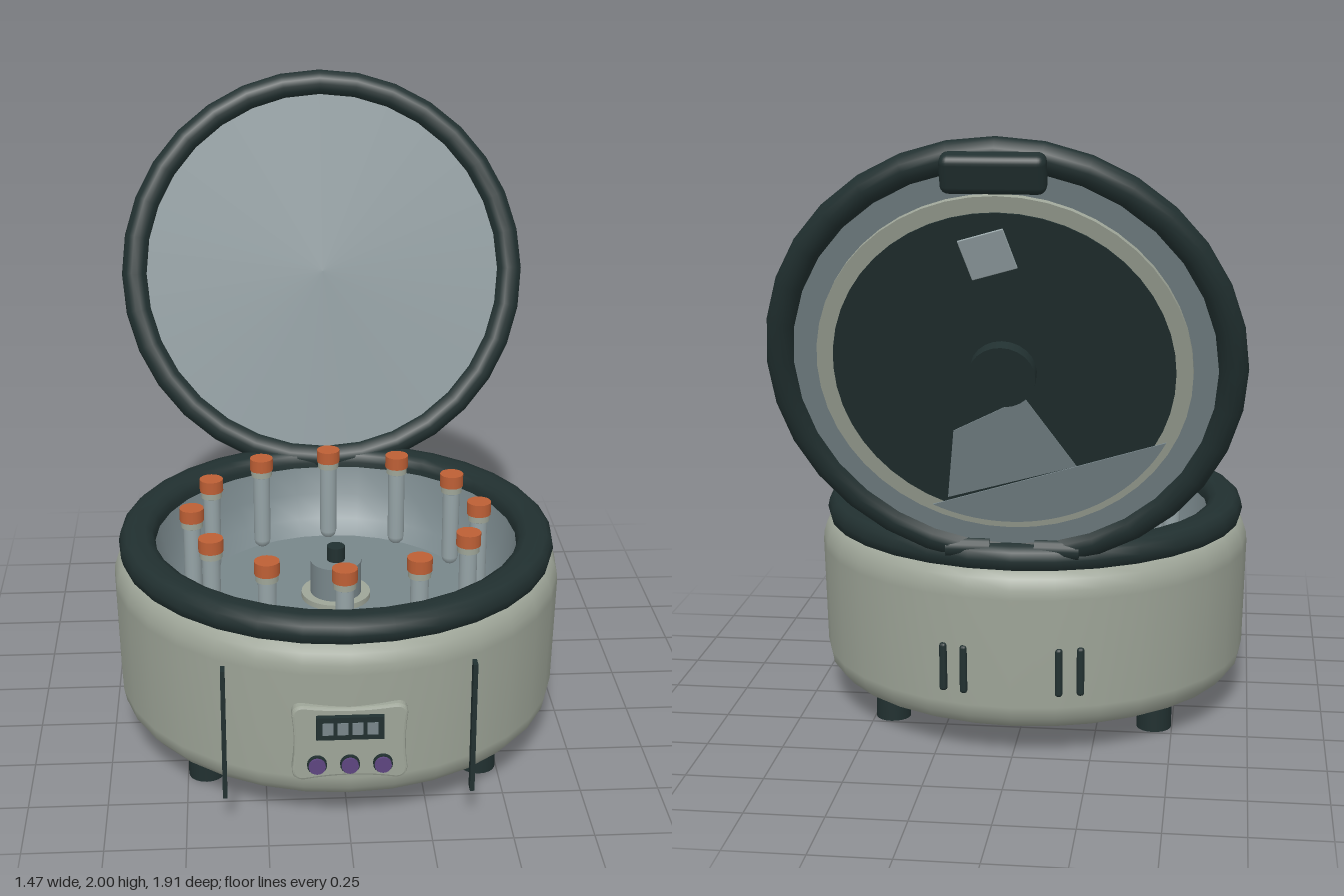
import * as THREE from 'three';
import { RoundedBoxGeometry } from 'three/addons/geometries/RoundedBoxGeometry.js';

const paint = (name, color, side = THREE.FrontSide) => {
  const m = new THREE.MeshStandardMaterial({ color, side });
  m.name = name;
  return m;
};
const shell = paint('shell grey green', 0x9ea598);
const dark = paint('dark rubber', 0x213030);
const steel = paint('steel', 0x78868a);
const orange = paint('orange cap', 0xbd5f35);
const purple = paint('purple button', 0x5d4580);
const glass = paint('pale glass', 0x95a3a6);

function add(parent, name, geometry, material, x = 0, y = 0, z = 0) {
  const mesh = new THREE.Mesh(geometry, material);
  mesh.name = name;
  mesh.position.set(x, y, z);
  parent.add(mesh);
  return mesh;
}
const lathe = (pts, n = 32) => new THREE.LatheGeometry(pts.map(([r, y]) => new THREE.Vector2(r, y)), n);
const disc = (r, h, n = 32) => new THREE.CylinderGeometry(r, r, h, n);
// Disc whose axis points along z
const facing = (r, h, n = 32) => disc(r, h, n).rotateX(Math.PI / 2);
const outline = (pts) => new THREE.Shape(pts.map(([x, y]) => new THREE.Vector2(x, y)));

function makeTube() {
  const tube = new THREE.Group();
  tube.name = 'sampleTube';
  add(tube, 'vial', lathe([[0, 0.43], [0.014, 0.434], [0.025, 0.445], [0.029, 0.46], [0.029, 0.7]], 16), glass);
  add(tube, 'vialCollar', disc(0.036, 0.022, 16), shell, 0, 0.715);
  add(tube, 'cap', disc(0.04, 0.043, 16), orange, 0, 0.748);
  return tube;
}

function makeBase() {
  const base = new THREE.Group();
  base.name = 'base';
  base.position.z = 0.195;
  add(base, 'housing', lathe([
    [0.6, 0.08], [0.645, 0.086], [0.69, 0.107], [0.718, 0.14], [0.726, 0.18],
    [0.735, 0.54], [0.733, 0.57], [0.722, 0.605], [0.7, 0.63], [0.66, 0.64]]), shell);
  add(base, 'underside', disc(0.602, 0.01), shell, 0, 0.085);
  add(base, 'rubberRim', lathe([
    [0.64, 0.62], [0.69, 0.621], [0.71, 0.632], [0.717, 0.66], [0.711, 0.688],
    [0.695, 0.704], [0.67, 0.709], [0.63, 0.707], [0.607, 0.695], [0.598, 0.67], [0.598, 0.64]]), dark);

  // Chamber and rotor
  add(base, 'bowlWall', lathe([[0.6, 0.66], [0.575, 0.56], [0.53, 0.48], [0.475, 0.435]]), steel);
  add(base, 'bowlFloor', disc(0.48, 0.02), steel, 0, 0.426);
  add(base, 'rotorFlange', disc(0.115, 0.02), shell, 0, 0.445);
  add(base, 'rotorHub', disc(0.085, 0.12), steel, 0, 0.51);
  add(base, 'rotorNut', disc(0.03, 0.05, 16), dark, 0, 0.595);
  for (let i = 0; i < 12; i++) {
    const a = i * Math.PI / 6;
    const tube = makeTube();
    tube.position.set(0.475 * Math.sin(a), 0, 0.475 * Math.cos(a));
    base.add(tube);
  }

  // Feet and front trim strips
  for (const s of [-1, 1]) {
    for (const z of [-0.38, 0.38]) add(base, 'foot', disc(0.058, 0.085, 20), dark, s * 0.44, 0.0425, z);
    add(base, 'trimStrip', new THREE.BoxGeometry(0.014, 0.44, 0.035), dark, s * 0.38, 0.333, 0.695);
  }

  // Rear vent slots, in two pairs
  for (const deg of [-17.5, -12, 12, 17.5]) {
    const a = Math.PI + deg * Math.PI / 180;
    const slot = add(base, 'ventSlot', new RoundedBoxGeometry(0.024, 0.16, 0.03, 2, 0.01), dark,
      0.725 * Math.sin(a), 0.3, 0.725 * Math.cos(a));
    slot.rotation.y = a;
  }
  return base;
}

function makeControls() {
  const controls = new THREE.Group();
  controls.name = 'controlPanel';
  // Slightly pinched plate
  const s = new THREE.Shape();
  s.moveTo(-0.14, 0.196);
  s.quadraticCurveTo(0, 0.22, 0.14, 0.196);
  s.quadraticCurveTo(0.168, 0.196, 0.168, 0.225);
  s.quadraticCurveTo(0.155, 0.315, 0.168, 0.41);
  s.quadraticCurveTo(0.168, 0.435, 0.14, 0.435);
  s.quadraticCurveTo(0, 0.415, -0.14, 0.435);
  s.quadraticCurveTo(-0.168, 0.435, -0.168, 0.41);
  s.quadraticCurveTo(-0.155, 0.315, -0.168, 0.225);
  s.quadraticCurveTo(-0.168, 0.196, -0.14, 0.196);
  add(controls, 'panelPlate', new THREE.ExtrudeGeometry(s, {
    depth: 0.06, bevelSize: 0.008, bevelThickness: 0.008, bevelSegments: 2, curveSegments: 8,
  }), shell, 0, 0, 0.87);
  add(controls, 'display', new THREE.BoxGeometry(0.205, 0.076, 0.02), dark, 0, 0.374, 0.945);
  for (let i = 0; i < 4; i++) {
    add(controls, 'displayCell', new THREE.BoxGeometry(0.032, 0.04, 0.004), steel, (i - 1.5) * 0.045, 0.374, 0.956);
  }
  for (const x of [-0.1, 0, 0.1]) {
    add(controls, 'buttonBezel', facing(0.03, 0.02, 20), dark, x, 0.245, 0.94);
    add(controls, 'button', facing(0.026, 0.02, 20), purple, x, 0.245, 0.948);
  }
  return controls;
}

function makeLid() {
  const lid = new THREE.Group();
  lid.name = 'lid';
  lid.position.set(0, 1.315, -0.65);
  lid.rotation.x = -0.314;
  add(lid, 'lidSeal', new THREE.TorusGeometry(0.675, 0.046, 14, 32), dark);
  add(lid, 'lidPanel', facing(0.645, 0.034, 48), steel, 0, 0, -0.003);

  // Outer face, turned so that its local z points backwards
  const outer = new THREE.Group();
  outer.name = 'lidOuterFace';
  outer.rotation.y = Math.PI;
  lid.add(outer);
  add(outer, 'windowFrame', facing(0.56, 0.02, 48), shell, 0, 0, 0.027);
  add(outer, 'window', facing(0.51, 0.006, 48), dark, 0, 0, 0.038);
  add(outer, 'knob', facing(0.1, 0.045, 24), dark, 0, 0, 0.06);
  const plate = (name, shape, material) => add(outer, name,
    new THREE.ExtrudeGeometry(shape, { depth: 0.004, bevelEnabled: false, curveSegments: 16 }), material, 0, 0, 0.04);
  const segment = new THREE.Shape();
  segment.absarc(0, 0, 0.535, 4.25, 5.83, false);
  plate('windowSegment', segment, steel);
  plate('lowerPane', outline([[-0.19, -0.45], [0.21, -0.325], [0.06, -0.09], [-0.16, -0.21]]), steel);
  const pane = add(outer, 'upperPane', new RoundedBoxGeometry(0.14, 0.13, 0.008, 2, 0.003), glass, -0.03, 0.38, 0.041);
  pane.rotation.z = 0.3;
  add(outer, 'latch', new RoundedBoxGeometry(0.3, 0.115, 0.07, 3, 0.025), dark, 0, 0.64, 0.06);
  return lid;
}

export function createModel() {
  const model = new THREE.Group();
  model.name = 'centrifuge';
  model.add(makeBase(), makeControls(), makeLid());

  // Hinge barrels behind the rim
  for (const s of [-1, 1]) {
    add(model, 'hinge', disc(0.035, 0.14, 16).rotateZ(Math.PI / 2), dark, s * 0.14, 0.69, -0.465);
  }
  return model;
}
